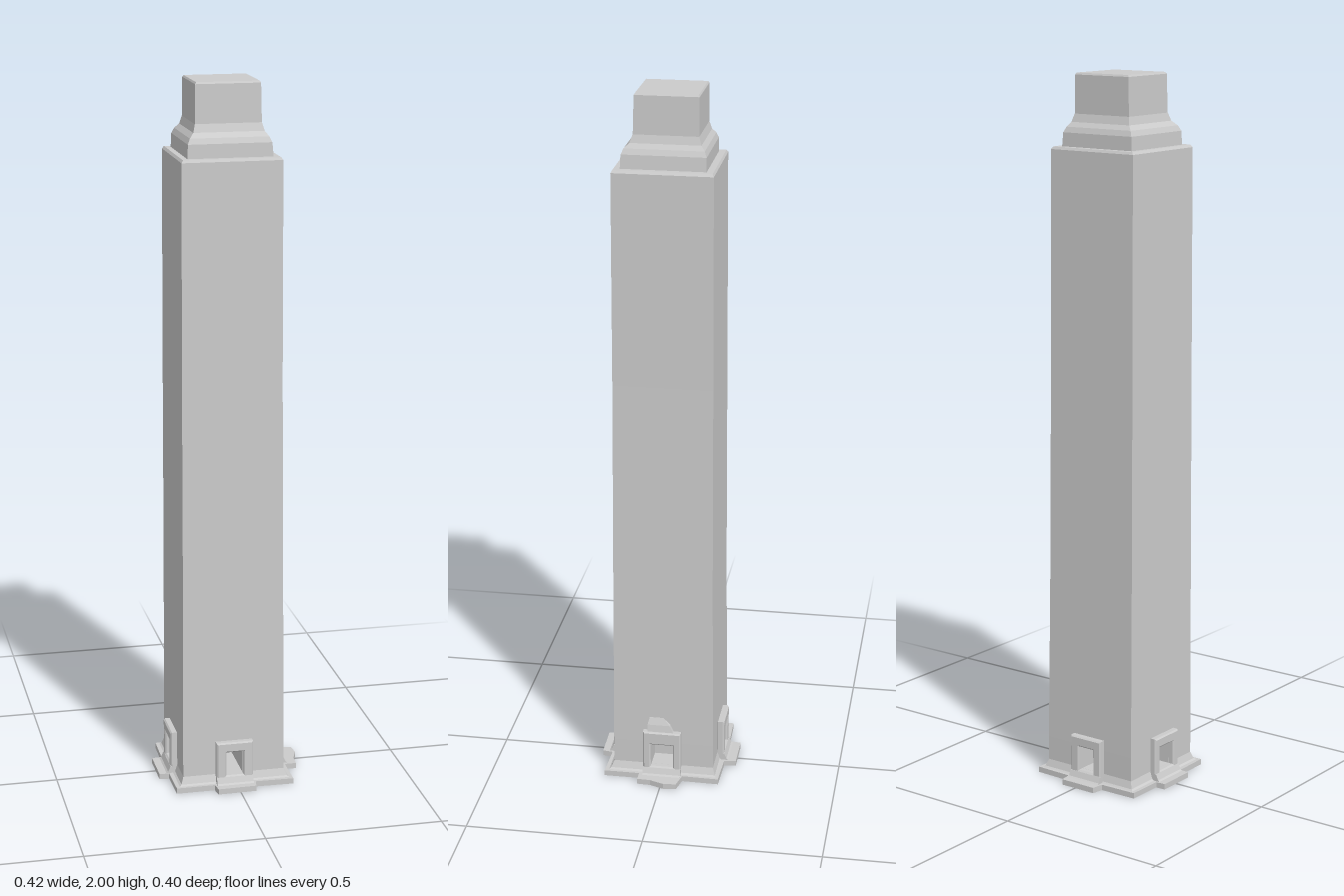
import * as THREE from 'three';

const material = new THREE.MeshStandardMaterial({ color: 0xcccccc, flatShading: true });

// Rectangular loft: each ring is [y, xMin, xMax, zMin, zMax], from bottom to top
function loft(rings) {
  const pos = [];
  const corners = ([y, x0, x1, z0, z1]) => [[x0, y, z1], [x1, y, z1], [x1, y, z0], [x0, y, z0]];
  const quad = (a, b, c, d) => pos.push(...a, ...b, ...c, ...a, ...c, ...d);
  for (let i = 0; i < rings.length - 1; i++) {
    const a = corners(rings[i]), b = corners(rings[i + 1]);
    for (let k = 0; k < 4; k++) {
      const n = (k + 1) % 4;
      quad(a[k], a[n], b[n], b[k]);
    }
  }
  const bottom = corners(rings[0]), top = corners(rings[rings.length - 1]);
  quad(...top);
  quad(...bottom.reverse());
  const geo = new THREE.BufferGeometry();
  geo.setAttribute('position', new THREE.Float32BufferAttribute(pos, 3));
  geo.computeVertexNormals();
  return geo;
}

// Upright prism from a plan outline of [x, z] points
function prism(points, y, height) {
  const shape = new THREE.Shape(points.map(([x, z]) => new THREE.Vector2(x, -z)));
  const geo = new THREE.ExtrudeGeometry(shape, { depth: height, bevelEnabled: false });
  return geo.rotateX(-Math.PI / 2).translate(0, y, 0);
}

// Raised door surround with a square opening, facing +z
function doorFrame(width, height, openWidth, depth) {
  const w = width / 2, o = openWidth / 2;
  const shape = new THREE.Shape([[-w, 0], [w, 0], [w, height], [-w, height]].map(p => new THREE.Vector2(...p)));
  shape.holes.push(new THREE.Path([[-o, 0.04], [-o, 0.11], [o, 0.11], [o, 0.04]].map(p => new THREE.Vector2(...p))));
  return new THREE.ExtrudeGeometry(shape, {
    depth: depth - 0.008, bevelEnabled: true, bevelThickness: 0.004, bevelSize: 0.004, bevelOffset: -0.004, bevelSegments: 1,
  }).translate(0, 0, 0.004);
}

export function createModel() {
  const model = new THREE.Group();
  const add = (name, geo) => {
    const mesh = new THREE.Mesh(geo, material);
    mesh.name = name;
    model.add(mesh);
    return mesh;
  };

  // Cross-shaped ground slab with a step in front of each door
  add('baseSlab', prism([
    [-0.18, 0.167], [-0.07, 0.167], [-0.065, 0.198], [0.045, 0.196], [0.05, 0.167], [0.16, 0.17],
    [0.16, 0.068], [0.193, 0.068], [0.195, 0.03], [0.21, -0.01], [0.207, -0.047], [0.158, -0.058], [0.16, -0.163],
    [0.05, -0.166], [0.045, -0.2], [-0.065, -0.2], [-0.07, -0.166], [-0.18, -0.163],
    [-0.182, -0.058], [-0.21, -0.056], [-0.21, 0.058], [-0.182, 0.062],
  ], 0, 0.016));

  // Flared foot, forming the floor of the door openings
  add('foot', loft([
    [0.01, -0.178, 0.158, -0.162, 0.166],
    [0.02, -0.164, 0.145, -0.152, 0.153],
    [0.04, -0.157, 0.137, -0.145, 0.145],
  ]));

  // Door level: two walls flanking a front-to-back passage, each with a side niche
  for (const side of [-1, 1]) {
    const outer = side < 0 ? -0.157 : 0.137;
    const inner = side < 0 ? -0.035 : 0.015;
    const niche = outer - side * 0.06;
    add(side < 0 ? 'rightDoorLevelWall' : 'leftDoorLevelWall', prism([
      [inner, 0.145], [outer, 0.145], [outer, 0.035], [niche, 0.035],
      [niche, -0.03], [outer, -0.03], [outer, -0.145], [inner, -0.145],
    ], 0.04, 0.07));
  }

  // Tall, slightly tapering tower shaft
  add('shaft', loft([
    [0.11, -0.157, 0.137, -0.145, 0.145],
    [0.6, -0.155, 0.132, -0.14, 0.144],
    [1.2, -0.154, 0.127, -0.137, 0.142],
    [1.795, -0.152, 0.125, -0.134, 0.142],
    [1.802, -0.147, 0.12, -0.13, 0.138],
  ]));

  // Stepped, curved collar and crowning block
  add('collar', loft([
    [1.795, -0.132, 0.104, -0.112, 0.121],
    [1.84, -0.13, 0.1, -0.111, 0.119],
    [1.855, -0.123, 0.093, -0.105, 0.112],
    [1.868, -0.111, 0.084, -0.095, 0.098],
    [1.89, -0.105, 0.078, -0.088, 0.09],
  ]));
  add('crownBlock', loft([
    [1.88, -0.105, 0.078, -0.088, 0.09],
    [1.995, -0.103, 0.076, -0.088, 0.087],
    [2, -0.1, 0.073, -0.085, 0.084],
  ]));

  // Door surrounds: name, face x, face z, turn, width, height, opening width
  const doors = [
    ['frontDoorFrame', -0.01, 0.142, 0, 0.106, 0.14, 0.05],
    ['backDoorFrame', -0.01, -0.142, Math.PI, 0.106, 0.14, 0.05],
    ['leftDoorFrame', 0.134, 0.0025, Math.PI / 2, 0.11, 0.15, 0.065],
    ['rightDoorFrame', -0.154, 0.0025, -Math.PI / 2, 0.11, 0.14, 0.065],
  ];
  for (const [name, x, z, turn, width, height, open] of doors) {
    const frame = add(name, doorFrame(width, height, open, 0.022));
    frame.position.set(x, 0, z);
    frame.rotation.y = turn;

    // Sloping apron easing each frame down to its step
    const w = width / 2;
    const apron = add(name.replace('Frame', 'Apron'), loft([
      [0.01, -w, w, 0, 0.042],
      [0.02, -w, w, 0, 0.03],
      [0.036, -w, w, 0, 0.023],
    ]));
    apron.position.copy(frame.position);
    apron.rotation.y = turn;
  }

  // Small ragged lip above the left door
  add('leftDoorLip', loft([
    [0.14, 0.13, 0.152, -0.035, 0.045],
    [0.17, 0.13, 0.146, -0.02, 0.045],
    [0.19, 0.13, 0.138, 0, 0.04],
  ]));

  return model;
}
